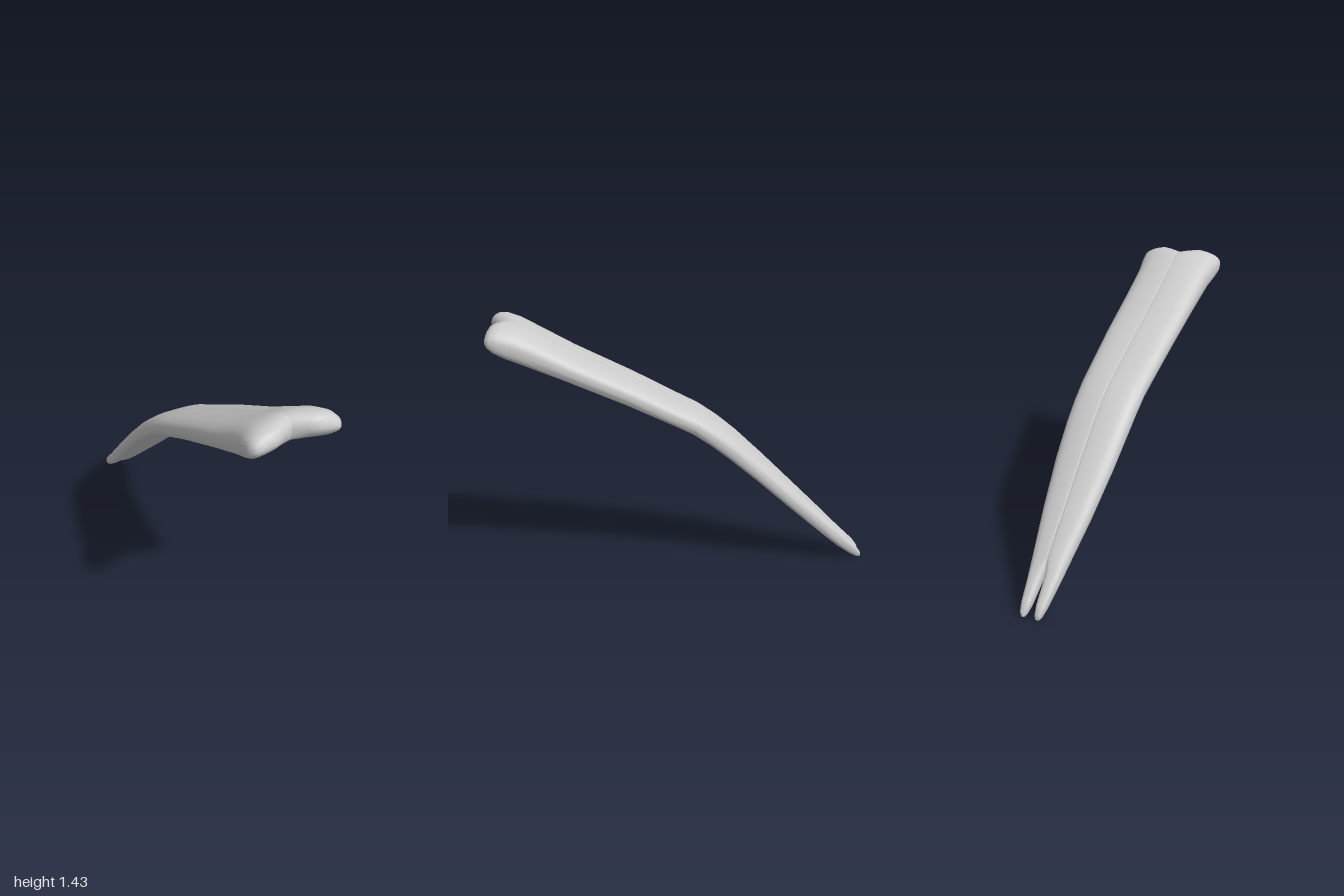
import * as THREE from 'three';
import { toCreasedNormals } from 'three/addons/utils/BufferGeometryUtils.js';

// Sections from tail tip to front end: z, y, half thickness, inner x, outer x, arch, notch depth
// (a negative inner x means both halves are joined there)
const SECTIONS = [
  [-0.998, 0.008, 0.006, 0.030, 0.048, 0, 0],
  [-0.985, 0.021, 0.018, 0.022, 0.058, 0, 0],
  [-0.95, 0.053, 0.028, 0.014, 0.067, 0, 0],
  [-0.88, 0.113, 0.034, 0.009, 0.078, 0.003, 0],
  [-0.825, 0.165, 0.036, 0.003, 0.088, 0.006, 0],
  [-0.78, 0.210, 0.038, -0.003, 0.096, 0.010, 0],
  [-0.6, 0.385, 0.041, -0.003, 0.130, 0.016, 0],
  [-0.4, 0.580, 0.044, -0.003, 0.159, 0.020, 0],
  [-0.25, 0.719, 0.048, -0.003, 0.171, 0.022, 0],
  [-0.15, 0.802, 0.049, -0.003, 0.176, 0.022, 0],
  [-0.05, 0.872, 0.049, -0.003, 0.180, 0.020, 0],
  [0.05, 0.924, 0.049, -0.003, 0.184, 0.018, 0],
  [0.3, 1.054, 0.053, -0.003, 0.196, 0.018, 0],
  [0.6, 1.200, 0.058, -0.003, 0.207, 0.024, 0],
  [0.8, 1.302, 0.068, -0.003, 0.216, 0.034, 0],
  [0.88, 1.343, 0.070, -0.003, 0.230, 0.038, 0.01],
  [0.94, 1.371, 0.063, -0.003, 0.238, 0.038, 0.03],
  [0.975, 1.384, 0.048, -0.003, 0.232, 0.036, 0.05],
  [0.993, 1.390, 0.030, -0.003, 0.215, 0.034, 0.06],
  [1.0, 1.392, 0.012, -0.003, 0.190, 0.032, 0.06],
];
const RING = 32;

const rounded = (v) => Math.sign(v) * Math.pow(Math.abs(v), 0.7);

// One half of the blade, lofted through the sections and mirrored by side
function halfBlade(side) {
  const positions = [];
  const index = [];
  const face = (a, b, c) => (side > 0 ? index.push(a, b, c) : index.push(a, c, b));
  const last = SECTIONS.length - 1;

  SECTIONS.forEach(([z, y, thick, inner, outer, arch, notch], s) => {
    const before = SECTIONS[Math.max(s - 1, 0)];
    const after = SECTIONS[Math.min(s + 1, last)];
    const length = Math.hypot(after[0] - before[0], after[1] - before[1]);
    const tz = (after[0] - before[0]) / length;
    const ty = (after[1] - before[1]) / length;
    for (let i = 0; i < RING; i++) {
      const a = (i / RING) * Math.PI * 2;
      const [c, n] = [Math.cos(a), Math.sin(a)];
      const x = Math.max(0, (inner + outer) / 2 + ((outer - inner) / 2) * rounded(c));
      // Blunt outer edge; the joined inner edge keeps its height, leaving a faint groove
      const height = inner < 0 && c < 0 ? Math.sign(n) * (0.93 + 0.07 * Math.abs(n)) : rounded(n);
      // Sides droop below the middle; the front end dips in at the centre
      const lift = thick * height + arch * (0.35 - (x / outer) ** 2);
      const back = notch * Math.max(0, 1 - x / 0.11);
      positions.push(side * x, y + lift * tz - back * ty, z - lift * ty - back * tz);
    }
  });

  for (let s = 0; s < last; s++) {
    for (let i = 0; i < RING; i++) {
      const j = (i + 1) % RING;
      const [a, b, c, d] = [s * RING + i, s * RING + j, (s + 1) * RING + j, (s + 1) * RING + i];
      face(a, b, c);
      face(a, c, d);
    }
  }
  // Close both ends with strips running across the ring
  for (let i = 0; i < RING / 2; i++) {
    const [a, b, c, d] = [i, i + 1, RING - 1 - i, (RING - i) % RING];
    const e = last * RING;
    face(a, c, b);
    face(a, d, c);
    face(e + a, e + b, e + c);
    face(e + a, e + c, e + d);
  }

  const geometry = new THREE.BufferGeometry();
  geometry.setAttribute('position', new THREE.Float32BufferAttribute(positions, 3));
  geometry.setIndex(index);
  return toCreasedNormals(geometry, 1.0);
}

export function createModel() {
  const group = new THREE.Group();
  group.name = 'forkedBlade';
  const paleGrey = new THREE.MeshStandardMaterial({ color: 0xcccccc });
  paleGrey.name = 'paleGrey';

  for (const [name, side] of [['leftHalf', 1], ['rightHalf', -1]]) {
    const half = new THREE.Mesh(halfBlade(side), paleGrey);
    half.name = name;
    group.add(half);
  }
  return group;
}
